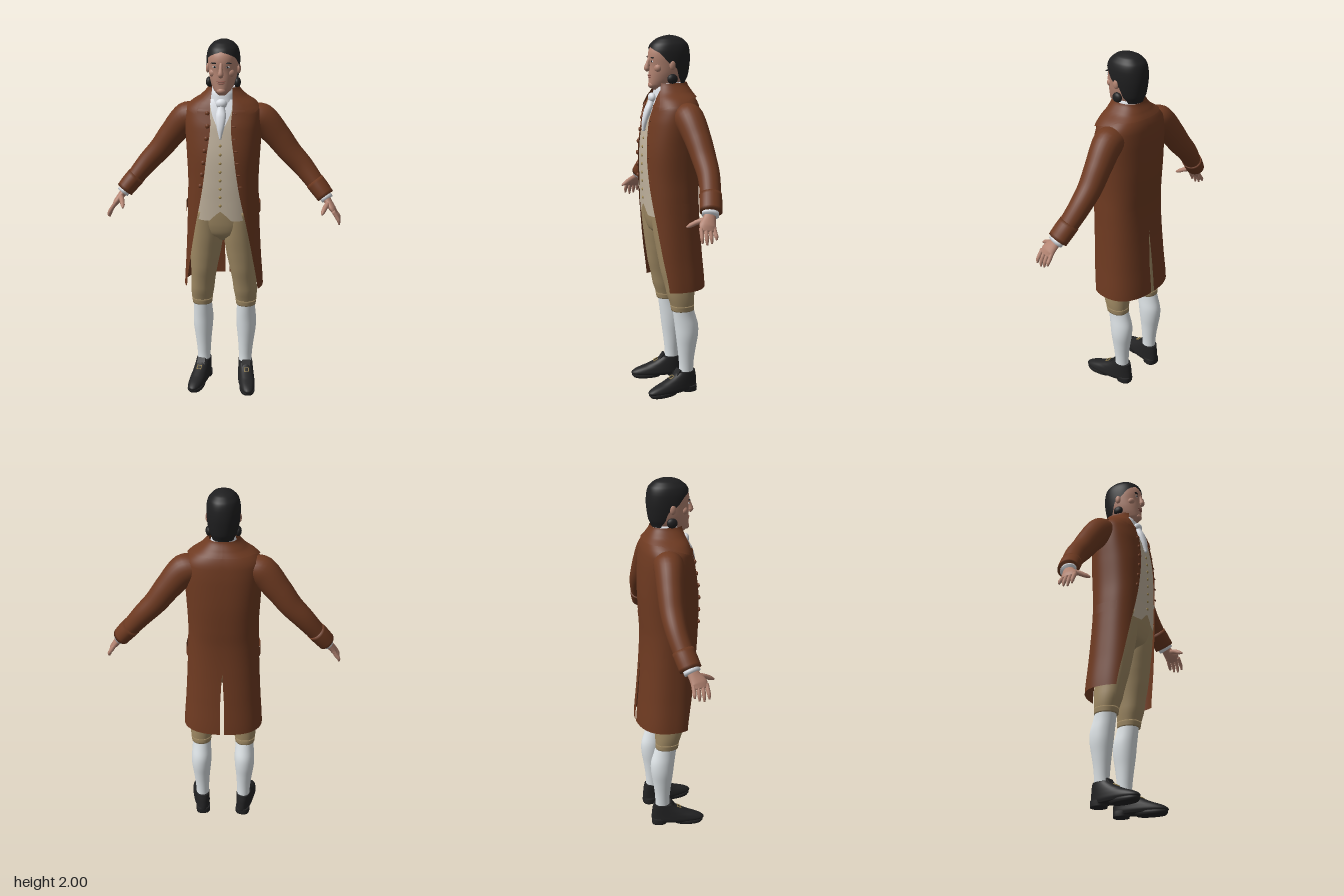
import * as THREE from 'three';

const mat = (name, color) => Object.assign(new THREE.MeshStandardMaterial({ color, side: THREE.DoubleSide }), { name });

// Indexed surface from fn(u, v) -> [x, y, z]; v runs round the ring, u along it
function grid(nu, nv, fn, closed = false, cap = false) {
  const pos = [], idx = [], cols = closed ? nv : nv + 1;
  for (let i = 0; i <= nu; i++) for (let j = 0; j < cols; j++) pos.push(...fn(i / nu, j / nv));
  const id = (i, j) => i * cols + (j % cols);
  for (let i = 0; i < nu; i++) for (let j = 0; j < nv; j++)
    idx.push(id(i, j), id(i, j + 1), id(i + 1, j + 1), id(i, j), id(i + 1, j + 1), id(i + 1, j));
  if (cap) for (const i of [0, nu]) {
    const c = [0, 0, 0], n = pos.length / 3;
    for (let j = 0; j < cols; j++) for (let k = 0; k < 3; k++) c[k] += pos[id(i, j) * 3 + k] / cols;
    pos.push(...c);
    for (let j = 0; j < nv; j++) i ? idx.push(n, id(i, j), id(i, j + 1)) : idx.push(n, id(i, j + 1), id(i, j));
  }
  const g = new THREE.BufferGeometry();
  g.setAttribute('position', new THREE.Float32BufferAttribute(pos, 3));
  g.setIndex(idx);
  g.computeVertexNormals();
  return g;
}

// Smoothly interpolated section at height y; rows are [y, halfWidth, zFront, zBack, xCentre]
function section(rows, y) {
  let i = 0;
  while (i < rows.length - 2 && y > rows[i + 1][0]) i++;
  const a = rows[Math.max(i - 1, 0)], b = rows[i], c = rows[i + 1], d = rows[Math.min(i + 2, rows.length - 1)];
  const t = (y - b[0]) / (c[0] - b[0]);
  return b.map((p, k) => p + 0.5 * t * (c[k] - a[k] + t * (2 * a[k] - 5 * p + 4 * c[k] - d[k] + t * (3 * (p - c[k]) + d[k] - a[k]))));
}
const pw = (v, n) => Math.sign(v) * Math.abs(v) ** (2 / n);
function onBody(rows, y, th, off = 0, n = 2.4) {
  const [, rx, zf, zb, cx = 0] = section(rows, y);
  return [cx + (rx + off) * pw(Math.sin(th), n), y, (zf + zb) / 2 + ((zf - zb) / 2 + off) * pw(Math.cos(th), n)];
}
const loft = (rows, n = 2.2, nu = 28, nv = 36) => grid(nu, nv, (u, v) =>
  onBody(rows, rows[0][0] + u * (rows.at(-1)[0] - rows[0][0]), v * Math.PI * 2, 0, n), true, true);
// Open panel lying on a body; lo/hi are functions of angle
const panel = (rows, a, b, lo, hi, off, nu = 14, nv = 28) => grid(nu, nv, (u, v) => {
  const th = a + (b - a) * v;
  return onBody(rows, lo(th) + (hi(th) - lo(th)) * u, th, off);
});
// Panel whose angular limits depend on height
function wrap(rows, from, to, n, nu = 44, nv = 40) {
  const g = grid(nu, nv, (u, v) => {
    const y = rows[0][0] + u * (rows.at(-1)[0] - rows[0][0]);
    return onBody(rows, y, from(y) + (to(y) - from(y)) * v, 0, n);
  });
  const p = g.attributes.position, m = g.attributes.normal;
  for (let i = 0; i < p.count; i++) if (Math.abs(p.getX(i)) < 1e-5) {
    const l = Math.hypot(m.getY(i), m.getZ(i)) || 1;
    m.setXYZ(i, 0, m.getY(i) / l, m.getZ(i) / l);
  }
  return g;
}
// Limb through points [x, y, z, radiusZ, radiusAcross]
function limb(pts, nu = 20, nv = 18) {
  const curve = new THREE.CatmullRomCurve3(pts.map(p => new THREE.Vector3(p[0], p[1], p[2])));
  return grid(nu, nv, (u, v) => {
    const f = u * (pts.length - 1), i = Math.min(Math.floor(f), pts.length - 2), t = f - i;
    const r = k => pts[i][k] + (pts[i + 1][k] - pts[i][k]) * t;
    const T = curve.getTangent(u), N = new THREE.Vector3(0, 0, 1).addScaledVector(T, -T.z).normalize();
    const B = T.clone().cross(N), a = v * Math.PI * 2;
    return curve.getPoint(u).addScaledVector(N, Math.cos(a) * r(3)).addScaledVector(B, Math.sin(a) * r(4)).toArray();
  }, true, true);
}
const ball = (x, y, z, a, b, c) => new THREE.SphereGeometry(1, 18, 12).scale(a, b, c).translate(x, y, z);
function mirrored(geo) {
  const g = geo.clone().scale(-1, 1, 1), ix = g.index.array;
  for (let i = 0; i < ix.length; i += 3) [ix[i], ix[i + 1]] = [ix[i + 1], ix[i]];
  return g;
}

export function createModel() {
  const root = new THREE.Group();
  const coat = mat('coat brown', 0x6e3a21), vest = mat('waistcoat cream', 0xc0b29d), tan = mat('breeches tan', 0xa08a64);
  const sock = mat('stocking white', 0xdde3e6), linen = mat('linen white', 0xe2e6ec), skin = mat('skin', 0xb38472);
  const hair = mat('hair black', 0x1f1f20), shoe = mat('shoe black', 0x232324), brass = mat('brass', 0xa08a55), lip = mat('lip', 0x935c50);
  const add = (name, geo, m) => { const o = new THREE.Mesh(geo, m); o.name = name; root.add(o); };
  const pair = (name, geo, m) => { add(name + 'Left', geo, m); add(name + 'Right', mirrored(geo), m); };

  // Coat: two halves open at the front, with a vent behind
  const body = [[0.62, 0.222, 0.145, -0.185], [0.8, 0.21, 0.152, -0.17], [1.0, 0.2, 0.155, -0.155], [1.15, 0.195, 0.16, -0.15],
    [1.25, 0.193, 0.163, -0.155], [1.4, 0.2, 0.16, -0.16], [1.55, 0.208, 0.138, -0.155], [1.63, 0.2, 0.115, -0.145],
    [1.67, 0.163, 0.1, -0.13], [1.7, 0.115, 0.086, -0.11], [1.745, 0.075, 0.07, -0.085]];
  const gap = [[0.62, 0.2], [0.8, 0.175], [1.0, 0.14], [1.2, 0.1], [1.4, 0.073], [1.55, 0.055], [1.65, 0.06], [1.745, 0.055]];
  const edge = y => Math.asin(Math.min(1, (section(gap, y)[1] / section(body, y)[1]) ** 1.2));
  const vent = y => Math.PI - (y < 1.0 ? 0.03 * Math.min(1, (1.0 - y) * 5) : 0);
  pair('coat', wrap(body, edge, vent, 2.4, 60), coat);
  const flat = v => () => v;
  pair('collar', panel(body, 0.62, Math.PI, th => 1.675 - 0.065 * Math.max(0, 1 - (th - 0.62) / 1.3), flat(1.75), 0.01), coat);
  pair('lapel', panel(body, 0.27, 0.6, th => 1.56 + 0.1 * (th - 0.27), flat(1.64), 0.006), coat);
  pair('pocketFlap', panel(body, 1.25, 1.95, flat(1.06), flat(1.115), 0.008, 4, 12), coat);
  for (let i = 0; i < 7; i++) {
    const y = 1.62 - i * 0.065, [x, , z] = onBody(body, y, edge(y) + 0.07, 0.002);
    add('coatButton', ball(-x, y, z, 0.012, 0.012, 0.008), coat);
    add('buttonhole', ball(x, y, z, 0.012, 0.004, 0.004), coat);
  }

  // Sleeves, turned cuffs and lace
  pair('sleeve', limb([[0.13, 1.585, -0.03, 0.08, 0.065], [0.2, 1.57, -0.04, 0.08, 0.085], [0.29, 1.475, -0.055, 0.07, 0.072],
    [0.36, 1.385, -0.062, 0.064, 0.064], [0.43, 1.31, -0.06, 0.058, 0.058], [0.5, 1.225, -0.042, 0.054, 0.05],
    [0.56, 1.152, -0.02, 0.053, 0.044]], 40, 28), coat);
  pair('cuff', limb([[0.498, 1.227, -0.043, 0.058, 0.053], [0.53, 1.19, -0.032, 0.059, 0.052], [0.562, 1.15, -0.02, 0.058, 0.049]], 6, 28), coat);
  pair('lace', limb([[0.545, 1.17, -0.026, 0.042, 0.034], [0.573, 1.135, -0.012, 0.045, 0.034]], 4, 20), linen);

  // Hands
  pair('palm', limb([[0.555, 1.155, -0.02, 0.028, 0.022], [0.58, 1.12, -0.004, 0.034, 0.02], [0.602, 1.09, 0.012, 0.045, 0.018],
    [0.618, 1.066, 0.016, 0.04, 0.011]]), skin);
  for (let i = 0; i < 4; i++) {
    const z = -0.018 + i * 0.023, d = [0.022, 0.006, 0, 0.01][i];
    pair('finger', limb([[0.606, 1.085, z, 0.011, 0.011], [0.626, 1.055, z * 1.05, 0.011, 0.011],
      [0.637, 1.03 + d / 2, z * 1.1, 0.01, 0.01], [0.642, 1.004 + d, z * 1.1, 0.005, 0.005]], 12, 10), skin);
  }
  pair('thumb', limb([[0.58, 1.12, 0.01, 0.016, 0.016], [0.565, 1.108, 0.05, 0.014, 0.014], [0.553, 1.09, 0.085, 0.012, 0.012],
    [0.548, 1.08, 0.106, 0.005, 0.005]], 12, 10), skin);

  // Waistcoat with pointed hem, shirt front and buttons
  add('shirtFront', panel(body, -0.6, 0.6, flat(1.45), flat(1.69), -0.014), linen);
  add('waistcoat', panel(body, -1.5, 1.5, th => 1.035 + 0.055 * Math.max(0, 1 - Math.abs(th) / 0.25) + 0.04 * Math.max(0, Math.abs(th) - 0.55),
    th => Math.min(1.66, 1.52 + 0.5 * Math.abs(th)), -0.007, 30, 64), vest);
  pair('waistcoatPocket', panel(body, 0.2, 0.55, th => 1.155 + 0.05 * (th - 0.2), th => 1.18 + 0.05 * (th - 0.2), -0.002, 3, 10), vest);
  for (let i = 0; i < 9; i++) {
    const y = 1.5 - i * 0.047, p = onBody(body, y, 0, -0.006);
    add('waistcoatButton', ball(0, y, p[2], 0.008, 0.008, 0.005), brass);
  }

  // Neckcloth, knot and hanging frill
  add('neckcloth', loft([[1.62, 0.075, 0.1, -0.07], [1.68, 0.073, 0.09, -0.077], [1.72, 0.069, 0.083, -0.078], [1.75, 0.06, 0.068, -0.07]]), linen);
  add('knot', ball(0, 1.67, 0.098, 0.03, 0.026, 0.022), linen);
  add('frill', loft([[1.49, 0.006, 0.156, 0.135], [1.55, 0.02, 0.155, 0.12], [1.61, 0.027, 0.14, 0.1], [1.665, 0.016, 0.115, 0.08]]), linen);

  // Breeches
  add('breechesSeat', loft([[0.9, 0.06, 0.06, -0.08], [0.94, 0.14, 0.112, -0.12], [1.0, 0.178, 0.132, -0.135], [1.1, 0.18, 0.142, -0.135], [1.2, 0.17, 0.14, -0.13]]), tan);
  pair('breechesLeg', loft([[0.495, 0.054, 0.026, -0.095, 0.126], [0.53, 0.06, 0.036, -0.098, 0.126], [0.58, 0.066, 0.053, -0.1, 0.123],
    [0.64, 0.068, 0.066, -0.103, 0.118], [0.72, 0.075, 0.086, -0.11, 0.111], [0.8, 0.085, 0.1, -0.118, 0.104], [0.93, 0.093, 0.12, -0.128, 0.093],
    [1.08, 0.088, 0.135, -0.125, 0.09]]), tan);
  pair('kneeBand', loft([[0.492, 0.056, 0.03, -0.098, 0.126], [0.508, 0.058, 0.033, -0.099, 0.126], [0.524, 0.06, 0.035, -0.098, 0.126]], 2.2, 5), tan);

  // Stockings
  pair('stocking', loft([[0.06, 0.037, -0.012, -0.1, 0.12], [0.14, 0.037, -0.018, -0.1, 0.122], [0.2, 0.041, -0.014, -0.104, 0.123],
    [0.27, 0.048, -0.006, -0.114, 0.125], [0.34, 0.056, 0.003, -0.125, 0.126], [0.4, 0.057, 0.01, -0.125, 0.125], [0.46, 0.053, 0.018, -0.108, 0.125],
    [0.52, 0.052, 0.024, -0.092, 0.126]], 2), sock);

  // Shoes, turned slightly outwards
  const place = g => g.rotateY(0.17).translate(0.122, 0, -0.06);
  pair('shoe', place(loft([[0.014, 0.042, 0.235, -0.058], [0.03, 0.047, 0.243, -0.062], [0.05, 0.046, 0.215, -0.062], [0.07, 0.044, 0.16, -0.06],
    [0.095, 0.042, 0.105, -0.057], [0.125, 0.04, 0.062, -0.05]], 2.3)), shoe);
  pair('sole', place(loft([[0, 0.041, 0.228, 0.07], [0.01, 0.044, 0.238, 0.06], [0.022, 0.043, 0.238, 0.05]], 2.3, 6)), shoe);
  pair('heel', place(loft([[0, 0.04, 0.025, -0.06], [0.015, 0.041, 0.028, -0.061], [0.035, 0.041, 0.04, -0.06]], 2.6, 6)), shoe);
  pair('tongue', place(new THREE.BoxGeometry(0.046, 0.05, 0.01, 2, 2, 1).rotateX(-0.6).translate(0, 0.118, 0.062)), shoe);
  pair('buckle', place(new THREE.TorusGeometry(0.017, 0.003, 6, 4).rotateZ(Math.PI / 4).rotateX(-1.05).translate(0, 0.1, 0.098)), brass);

  // Head and features
  const head = [[1.69, 0.05, 0.055, -0.055], [1.72, 0.036, 0.098, -0.05], [1.735, 0.047, 0.113, -0.06], [1.765, 0.061, 0.114, -0.075],
    [1.8, 0.071, 0.114, -0.088], [1.84, 0.077, 0.113, -0.097], [1.89, 0.08, 0.117, -0.1], [1.93, 0.077, 0.107, -0.098],
    [1.965, 0.056, 0.075, -0.07], [1.985, 0.02, 0.03, -0.03]];
  add('head', loft(head, 2.2, 40), skin);
  add('nose', limb([[0, 1.885, 0.11, 0.007, 0.009], [0, 1.855, 0.119, 0.012, 0.01], [0, 1.826, 0.126, 0.016, 0.016], [0, 1.812, 0.12, 0.008, 0.01]]), skin);
  add('chin', ball(0, 1.738, 0.1, 0.025, 0.018, 0.02), skin);
  add('upperLip', ball(0, 1.789, 0.112, 0.023, 0.005, 0.007), lip);
  add('lowerLip', ball(0, 1.779, 0.111, 0.02, 0.005, 0.007), lip);
  const spot = (y, th) => onBody(head, y, th, 0, 2.2);
  const [ex, ey, ez] = spot(1.864, 0.4), [bx, by, bz] = spot(1.884, 0.43);
  pair('eye', ball(ex, ey, ez, 0.012, 0.005, 0.004), linen);
  pair('iris', ball(ex, ey, ez + 0.003, 0.005, 0.005, 0.003), hair);
  pair('eyebrow', ball(bx, by, bz, 0.019, 0.004, 0.006), hair);
  pair('cheek', ball(0.042, 1.83, 0.078, 0.026, 0.024, 0.022), skin);
  pair('ear', ball(0.083, 1.845, 0.01, 0.011, 0.026, 0.017), skin);

  // Swept-back hair with side curls
  const cap = [[1.745, 0.062, 0.08, -0.085], [1.78, 0.075, 0.105, -0.1], [1.82, 0.083, 0.115, -0.108], [1.87, 0.088, 0.121, -0.113],
    [1.92, 0.087, 0.117, -0.11], [1.955, 0.077, 0.102, -0.099], [1.982, 0.054, 0.07, -0.07], [1.995, 0.026, 0.036, -0.038], [2.0, 0.002, 0.004, -0.004]];
  const line = [[1.745, 2.1], [1.78, 1.85], [1.83, 1.68], [1.86, 1.35], [1.885, 1.15], [1.91, 0.9], [1.93, 0.42], [1.942, 0], [2.0, 0]];
  pair('hair', wrap(cap, y => Math.max(0, section(line, y)[1]), flat(Math.PI), 2.2, 60, 30), hair);
  pair('sideCurl', ball(0.076, 1.772, 0.008, 0.018, 0.027, 0.029), hair);
  return root;
}
